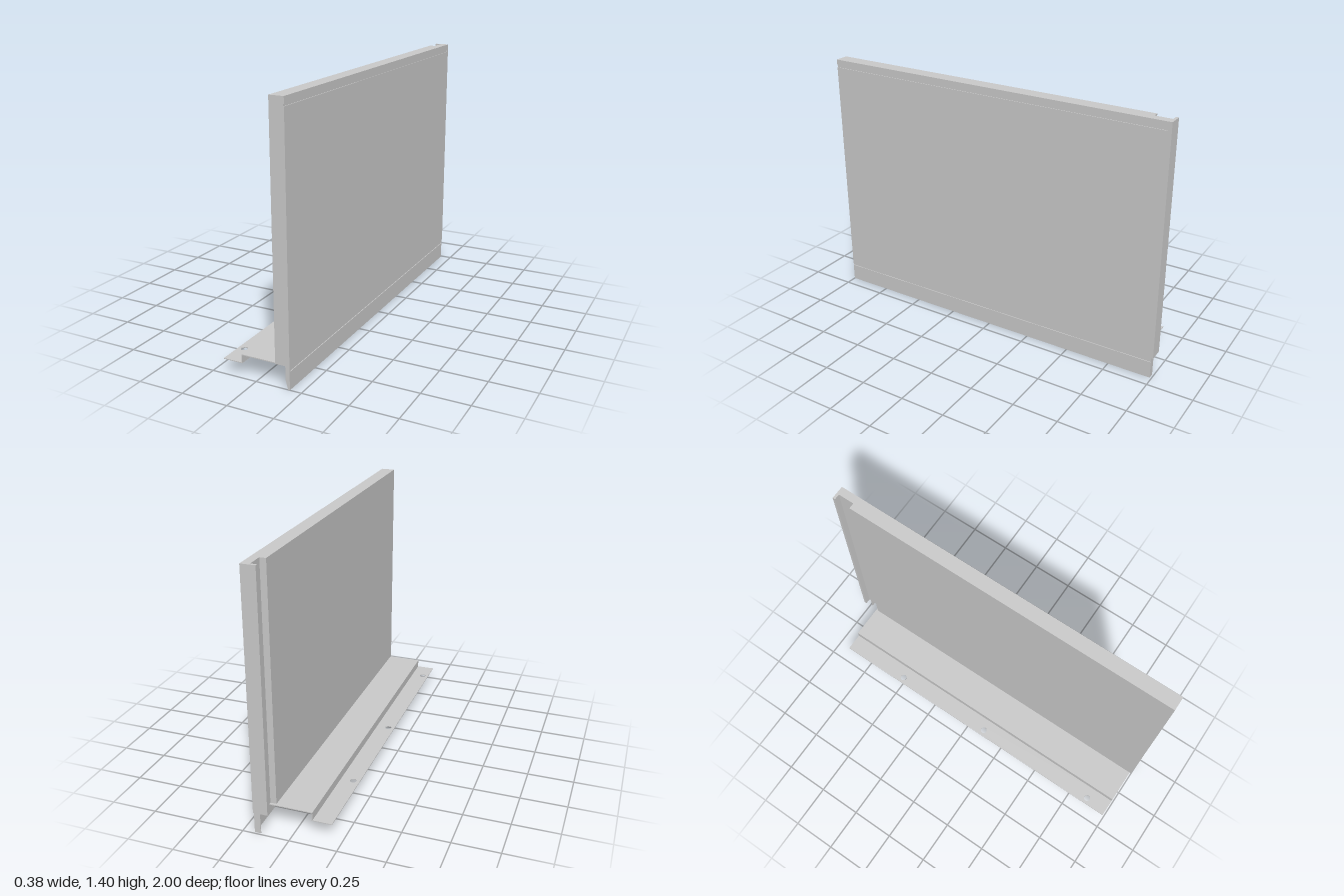
import * as THREE from 'three';

const mat = new THREE.MeshStandardMaterial({ color: 0xcccccc, side: THREE.DoubleSide });
const T = 0.004; // sheet thickness

function shapeOf(points) {
  return new THREE.Shape(points.map(([x, y]) => new THREE.Vector2(x, y)));
}

// Plan outline given as [x, z], raised from y0 to y1
function raise(points, y0, y1, holes = []) {
  const shape = shapeOf(points.map(([x, z]) => [x, -z]));
  for (const [x, z, r] of holes) {
    shape.holes.push(new THREE.Path().absarc(x, -z, r, 0, Math.PI * 2, true));
  }
  const geo = new THREE.ExtrudeGeometry(shape, { depth: y1 - y0, bevelEnabled: false, curveSegments: 16 });
  return geo.rotateX(-Math.PI / 2).translate(0, y0, 0);
}

function box(x0, x1, y0, y1, z0, z1) {
  return new THREE.BoxGeometry(x1 - x0, y1 - y0, z1 - z0)
    .translate((x0 + x1) / 2, (y0 + y1) / 2, (z0 + z1) / 2);
}

export function createModel() {
  const model = new THREE.Group();
  const add = (name, geo) => {
    const mesh = new THREE.Mesh(geo, mat);
    mesh.name = name;
    model.add(mesh);
  };

  // Panel plan: box with a hooked channel at the back end; d is the groove depth
  const plan = (d) => [
    [0.11, 1], [0.188 - d, 1], [0.188 - d, -0.98], [0.188, -0.98], [0.188, -1],
    [0.11, -1], [0.11, -0.985], [0.143, -0.985], [0.143, -0.893], [0.11, -0.893],
  ];
  add('panelBody', raise(plan(0), 0.12, 1.36));
  add('upperGroove', raise(plan(0.004), 1.36, 1.37));
  add('panelTop', raise(plan(0), 1.37, 1.405));

  // Apron sheet hanging below the panel, with a groove near its top
  add('apron', box(0.188 - T, 0.188, 0, 0.095, -0.99, 1));
  add('lowerGroove', box(0.18, 0.184, 0.095, 0.105, -0.99, 1));
  add('apronTop', box(0.188 - T, 0.188, 0.105, 0.12, -0.99, 1));

  // Apron end tabs: tapered at the front, square at the back
  const tab = shapeOf([[0.165, 0.12], [0.165, 0.05], [0.178, 0], [0.187, 0], [0.187, 0.12]]);
  add('frontTab', new THREE.ExtrudeGeometry(tab, { depth: T, bevelEnabled: false }).translate(0, 0, 1 - T));
  add('backTab', box(0.155, 0.187, 0, 0.12, -0.99, -0.99 + T));

  // Stepped mounting flange
  const zb = -0.905, zf = 0.99;
  add('flangeShelf', box(-0.087, 0.165, 0.12 - T, 0.121, zb, zf));
  add('flangeStep', box(-0.087, -0.083, 0.073, 0.12, zb, zf));
  add('flangeReturn', box(0.161, 0.165, 0.05, 0.12, zb, zf));
  const holes = [-0.5, 0.11, 0.86].map((z) => [-0.155, z, 0.018]);
  add('flangeFoot', raise([[-0.19, zf], [-0.083, zf], [-0.083, zb], [-0.19, zb]], 0.073, 0.073 + T, holes));

  return model;
}
